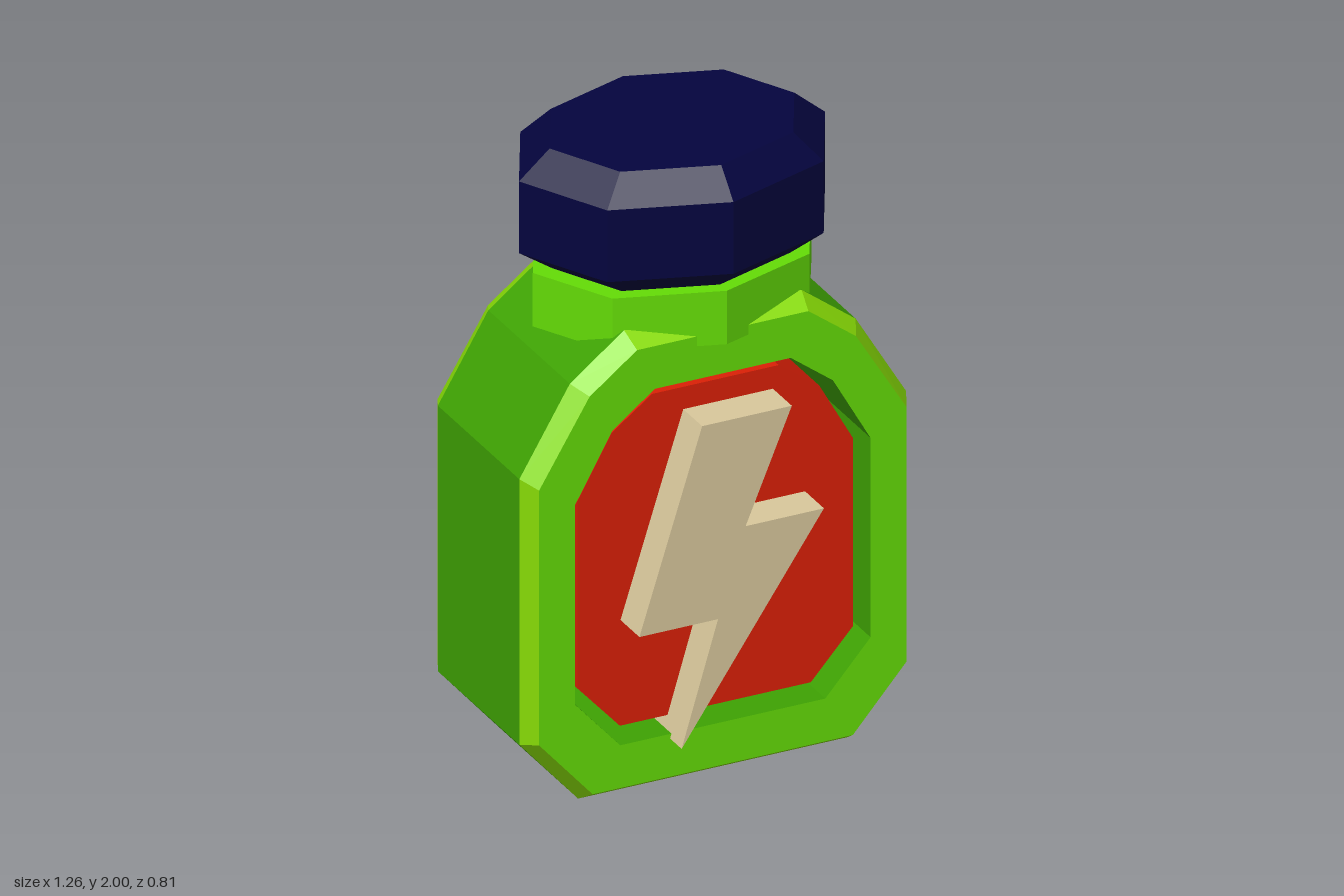
import * as THREE from 'three';

const mat = (name, color) => {
  const m = new THREE.MeshStandardMaterial({ color, flatShading: true });
  m.name = name;
  return m;
};

// Mirror a right-hand half outline (bottom to top) into a full counter-clockwise loop
const mirror = (half) => [...half, ...half.map(([x, y]) => [-x, y]).reverse()];

// Join outlines with equal point counts, each given as [outline, z]
function loft([p, zp], [q, zq]) {
  const pos = [];
  p.forEach((_, i) => {
    const j = (i + 1) % p.length;
    const a = [...p[i], zp], b = [...q[i], zq], c = [...q[j], zq], d = [...p[j], zp];
    pos.push(...a, ...b, ...c, ...a, ...c, ...d);
  });
  const g = new THREE.BufferGeometry();
  g.setAttribute('position', new THREE.Float32BufferAttribute(pos, 3));
  g.computeVertexNormals();
  return g;
}

// Flat slab centred on z = 0
function slab(points, halfDepth) {
  const shape = new THREE.Shape(points.map(([x, y]) => new THREE.Vector2(x, y)));
  const g = new THREE.ExtrudeGeometry(shape, { depth: halfDepth * 2, bevelEnabled: false });
  return g.translate(0, 0, -halfDepth);
}

// Eight-sided turned part, squashed front to back
function turned(profile, squash) {
  const g = new THREE.LatheGeometry(profile.map(([r, y]) => new THREE.Vector2(r, y)), 8);
  return g.scale(1, 1, squash);
}

export function createModel() {
  const green = mat('bottle green', 0x64dc06);
  const darkGreen = mat('wall green', 0x3ea203);
  const lime = mat('edge lime', 0x88dc06);
  const red = mat('panel red', 0xdb2006);
  const beige = mat('bolt beige', 0xd9c89c);
  const navy = mat('cap navy', 0x04043e);

  const model = new THREE.Group();
  model.name = 'bottle';
  const add = (name, geometry, material) => {
    const mesh = new THREE.Mesh(geometry, material);
    mesh.name = name;
    model.add(mesh);
  };

  // Outlines of the body, its front face, the opening and the panel
  const outer = mirror([[0.44, 0], [0.632, 0.22], [0.632, 1.09], [0.467, 1.365], [0.29, 1.5]]);
  const face = mirror([[0.425, 0.04], [0.6, 0.24], [0.6, 1.075], [0.435, 1.345], [0.28, 1.462]]);
  const opening = mirror([[0.335, 0.18], [0.483, 0.347], [0.483, 1.0], [0.36, 1.217], [0.222, 1.322]]);
  const panel = mirror([[0.312, 0.217], [0.45, 0.37], [0.45, 0.985], [0.34, 1.182], [0.207, 1.28]]);
  const zFace = 0.33, zRim = 0.265;

  // Body: bright frame faces, darker side walls and a window right through
  add('frontFrame', loft([opening, zFace], [face, zFace]), green);
  add('backFrame', loft([face, -zFace], [opening, -zFace]), green);
  add('bodySides', loft([outer, zRim], [outer, -zRim]), darkGreen);
  add('openingWalls', loft([opening, -zFace], [opening, zFace]), darkGreen);

  // Bevelled edges
  add('frontBevel', loft([face, zFace], [outer, zRim]), lime);
  add('backBevel', loft([outer, -zRim], [face, -zFace]), lime);

  // Panel and lightning bolt
  add('panel', slab(panel, 0.282), red);
  const bolt = [[-0.105, 1.207], [-0.31, 0.563], [-0.053, 0.563], [-0.172, 0.165],
    [0.293, 0.847], [0.037, 0.847], [0.188, 1.207]];
  add('bolt', slab(bolt, 0.405), beige);

  // Neck and cap
  add('neck', turned([[0, 1.43], [0.455, 1.43], [0.455, 1.605], [0, 1.605]], 0.785), green);
  add('cap', turned([[0, 1.605], [0.39, 1.605], [0.5, 1.68], [0.5, 1.915], [0.4, 2], [0, 2]], 0.8), navy);

  return model;
}
